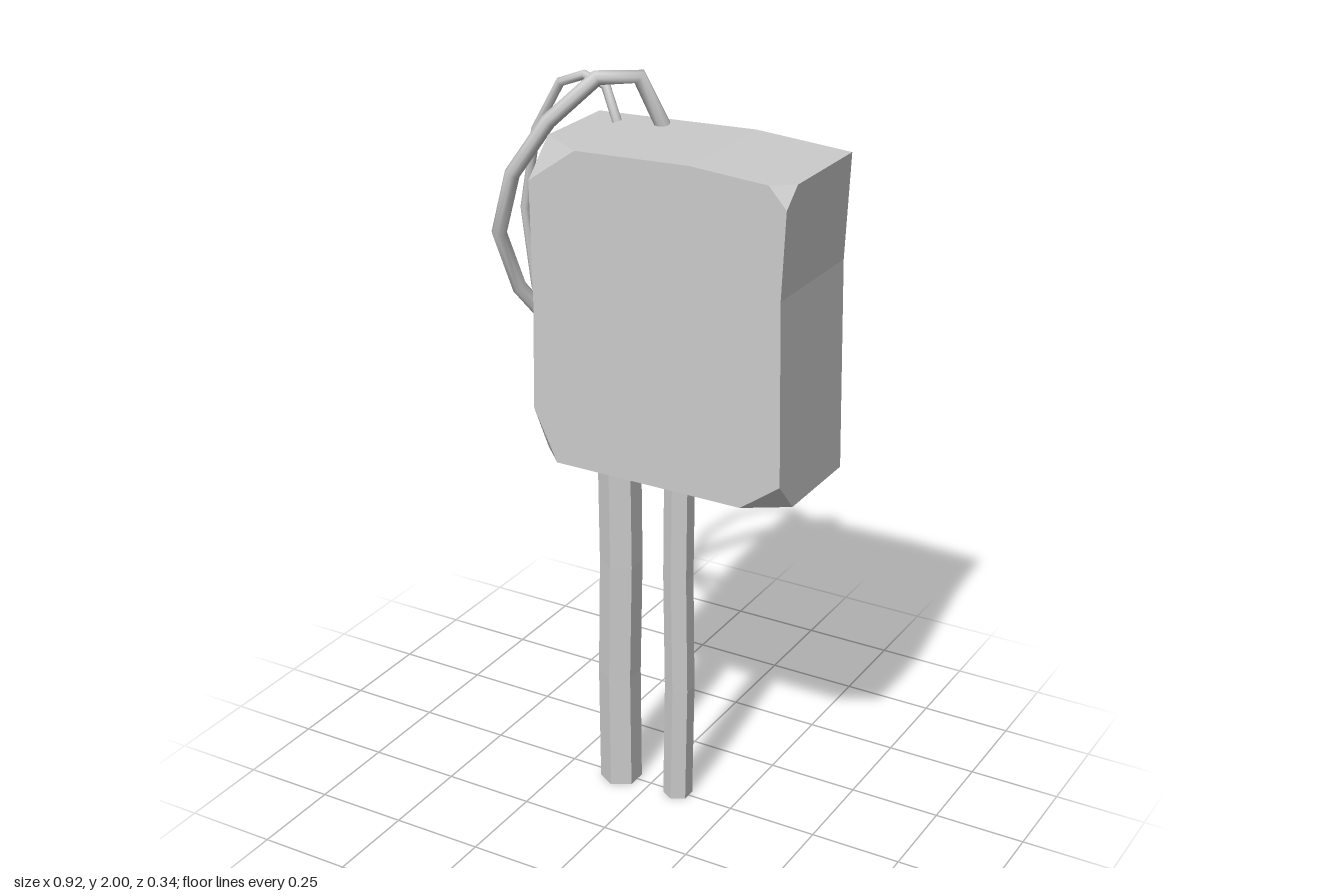
import * as THREE from 'three';

const flat = new THREE.MeshStandardMaterial({ color: 0xcccccc, flatShading: true, side: THREE.DoubleSide });
const smooth = new THREE.MeshStandardMaterial({ color: 0xcccccc, side: THREE.DoubleSide });

function part(name, geometry, material) {
  const mesh = new THREE.Mesh(geometry, material);
  mesh.name = name;
  return mesh;
}

// Thin-walled box, open at the back, with its four front corners cut off
function shellGeometry() {
  const back = -0.17, front = 0.17;
  // Counter-clockwise: corner, cut length along incoming side, along outgoing side,
  // z where the cut meets the depth edge, and the middle of the outgoing side
  const corners = [
    { p: [-0.25, 1.01], cutIn: 0.14, cutOut: 0.07, z: 0.1, mid: [0.1, 1.01] },
    { p: [0.46, 1.01], cutIn: 0.11, cutOut: 0.08, z: 0.1, mid: [0.448, 1.57] },
    { p: [0.46, 1.845], cutIn: 0.05, cutOut: 0.05, z: 0.12, mid: [0.2, 1.862] },
    { p: [-0.25, 1.845], cutIn: 0.135, cutOut: 0.09, z: 0.075, mid: [-0.242, 1.43] },
  ];
  const pos = [];
  const fan = (...pts) => {
    for (let i = 1; i < pts.length - 1; i++) pos.push(...pts[0], ...pts[i], ...pts[i + 1]);
  };
  const toward = (p, q, d) => {
    const k = d / Math.hypot(q[0] - p[0], q[1] - p[1]);
    return [p[0] + (q[0] - p[0]) * k, p[1] + (q[1] - p[1]) * k, front];
  };
  const centre = [0.1, 1.43, front];
  corners.forEach((c, i) => {
    const prevMid = corners[(i + 3) % 4].mid;
    const a = toward(c.p, prevMid, c.cutIn);
    const b = toward(c.p, c.mid, c.cutOut);
    const tip = [...c.p, c.z];
    const rear = [...c.p, back];
    // Half walls on both sides of the corner
    fan([...prevMid, back], rear, tip, a, [...prevMid, front]);
    fan([...c.mid, back], [...c.mid, front], b, tip, rear);
    // Corner cut and its share of the front
    fan(tip, b, a);
    fan(centre, [...prevMid, front], a, b, [...c.mid, front]);
  });
  const g = new THREE.BufferGeometry();
  g.setAttribute('position', new THREE.Float32BufferAttribute(pos, 3));
  g.computeVertexNormals();
  return g;
}

// Open six-sided post whose rings drift slightly: sway holds [dx, dz] from bottom to top
function postGeometry(x, radius, sway) {
  const height = 1.015, rings = sway.length - 1;
  const g = new THREE.CylinderGeometry(radius, radius, height, 6, rings, true);
  g.translate(0, height / 2, 0);
  const p = g.attributes.position;
  for (let i = 0; i < p.count; i++) {
    const [dx, dz] = sway[Math.round(p.getY(i) / height * rings)];
    p.setX(i, p.getX(i) + x + dx);
    p.setZ(i, p.getZ(i) + dz);
  }
  g.computeVertexNormals();
  return g;
}

// Path of straight runs with one tube ring at each point
class Polyline extends THREE.Curve {
  constructor(points) {
    super();
    this.points = points.map((p) => new THREE.Vector3(...p));
  }
  getPoint(t, target = new THREE.Vector3()) {
    const n = this.points.length - 1;
    const i = Math.min(Math.floor(t * n + 1e-9), n - 1);
    return target.lerpVectors(this.points[i], this.points[i + 1], t * n - i);
  }
  getUtoTmapping(u) {
    return u;
  }
}

const cableGeometry = (points, radius) =>
  new THREE.TubeGeometry(new Polyline(points), points.length - 1, radius, 8, false);

export function createModel() {
  const model = new THREE.Group();
  model.name = 'boxOnPosts';

  model.add(part('boxShell', shellGeometry(), flat));

  model.add(part('thickPost', postGeometry(-0.094, 0.057,
    [[0, 0.003], [-0.003, 0.003], [0.003, 0.002], [0, 0.003]]), flat));
  model.add(part('thinPost', postGeometry(0.085, 0.04,
    [[0, 0], [0.004, 0], [-0.001, 0.002], [0, 0]]), flat));

  // Cables arch from the top of the box to its side
  model.add(part('thickCable', cableGeometry([
    [-0.035, 1.85, -0.12], [-0.08, 1.978, -0.08], [-0.16, 1.98, -0.012],
    [-0.265, 1.87, 0.05], [-0.355, 1.73, 0.08], [-0.413, 1.56, 0.06],
    [-0.402, 1.39, -0.01], [-0.34, 1.26, -0.09], [-0.245, 1.215, -0.152],
  ], 0.02), smooth));
  model.add(part('thinCable', cableGeometry([
    [-0.152, 1.85, -0.093], [-0.187, 1.935, -0.098], [-0.25, 1.955, -0.1],
    [-0.325, 1.925, -0.104], [-0.405, 1.79, -0.11], [-0.449, 1.57, -0.118],
    [-0.43, 1.35, -0.132], [-0.365, 1.16, -0.14], [-0.24, 1.085, -0.14],
  ], 0.0125), smooth));

  return model;
}
